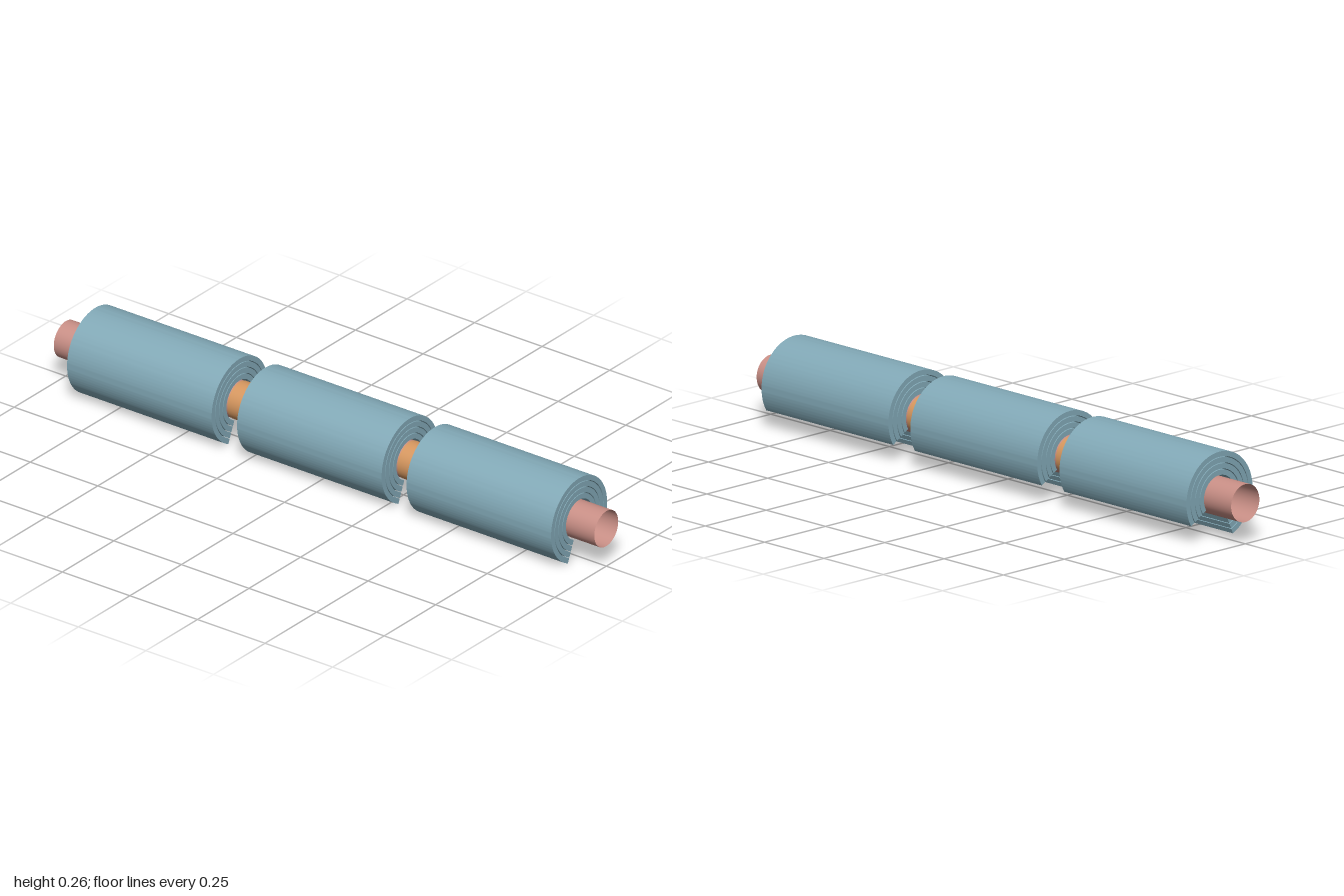
import * as THREE from 'three';
import { toCreasedNormals } from 'three/addons/utils/BufferGeometryUtils.js';

const AXIS_Y = 0.125;
const PIPE_RADIUS = 0.058;
const deg = THREE.MathUtils.degToRad;

// Slit arc layer, extruded along x and centred on the origin
function layerGeometry(inner, outer, length) {
  const start = deg(-31), end = deg(246.2);
  const shape = new THREE.Shape();
  shape.absarc(0, 0, outer, start, end, false);
  shape.absarc(0, 0, inner, end, start, true);
  shape.closePath();
  const geo = new THREE.ExtrudeGeometry(shape, { depth: length, bevelEnabled: false, curveSegments: 64 });
  geo.translate(0, 0, -length / 2);
  geo.rotateY(Math.PI / 2);
  return toCreasedNormals(geo, deg(30));
}

// Thin open tube between two x positions
function tube(name, radius, x0, x1, material) {
  const geo = new THREE.CylinderGeometry(radius, radius, x1 - x0, 64, 1, true);
  geo.rotateZ(Math.PI / 2);
  const mesh = new THREE.Mesh(geo, material);
  mesh.name = name;
  mesh.position.set((x0 + x1) / 2, AXIS_Y, 0);
  return mesh;
}

export function createModel() {
  const blue = new THREE.MeshStandardMaterial({ color: 0x82a9b7 });
  blue.name = 'insulationBlue';
  const pink = new THREE.MeshStandardMaterial({ color: 0xc98f86, side: THREE.DoubleSide });
  pink.name = 'pipePink';
  const orange = new THREE.MeshStandardMaterial({ color: 0xd6975f, side: THREE.DoubleSide });
  orange.name = 'bandOrange';

  const model = new THREE.Group();
  model.name = 'insulatedPipe';

  // Pipe running the full length
  model.add(tube('pipe', PIPE_RADIUS, -1, 1, pink));

  // Bands in the gaps between the insulation sections
  model.add(tube('bandRight', PIPE_RADIUS + 0.001, -0.357, -0.262, orange));
  model.add(tube('bandLeft', PIPE_RADIUS + 0.001, 0.272, 0.365, orange));

  // Four nested layers, shared by the three sections
  const length = 0.535, thickness = 0.016, pitch = 0.0186, firstRadius = 0.064;
  const layers = [0, 1, 2, 3].map((i) => {
    const r = firstRadius + i * pitch;
    return layerGeometry(r, r + thickness, length);
  });
  [-0.624, 0.005, 0.632].forEach((x, s) => {
    const section = new THREE.Group();
    section.name = 'insulationSection' + (s + 1);
    section.position.set(x, AXIS_Y, 0);
    layers.forEach((geo, i) => {
      const mesh = new THREE.Mesh(geo, blue);
      mesh.name = 'insulationLayer' + (i + 1);
      section.add(mesh);
    });
    model.add(section);
  });

  return model;
}
